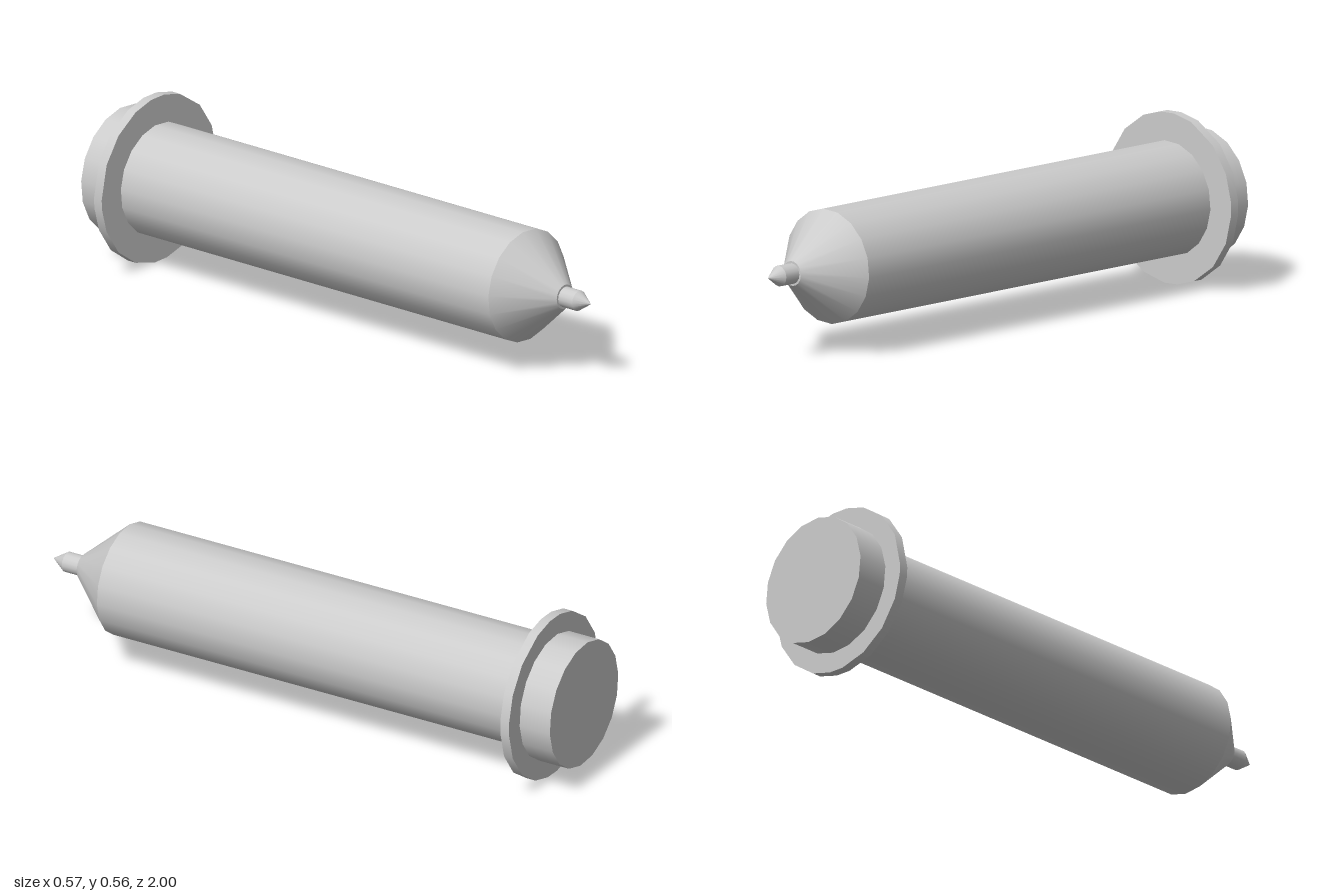
import * as THREE from 'three';

const CENTRE_Y = 0.284;
const material = new THREE.MeshStandardMaterial({ color: 0xcccccc });

// Round section along z, from the back (z0, r0) to the front (z1, r1).
function section(name, z0, r0, z1, r1, sides = 18, turn = 0) {
  const geometry = new THREE.CylinderGeometry(r1, r0, z1 - z0, sides);
  geometry.rotateX(Math.PI / 2);
  geometry.rotateZ(THREE.MathUtils.degToRad(turn));
  const mesh = new THREE.Mesh(geometry, material);
  mesh.name = name;
  mesh.position.set(0, CENTRE_Y, (z0 + z1) / 2);
  return mesh;
}

// Uneven corner angles of the flange rim, in degrees, counterclockwise from the bottom.
const RIM_ANGLES = [266, 278, 294, 315, 336, 356, 365, 384, 405, 429,
  445, 458, 474, 495, 516, 540, 547, 564, 585, 606];

// Slide each rim vertex round to its uneven angle.
function respaceRim(mesh) {
  const n = RIM_ANGLES.length;
  const { position, normal } = mesh.geometry.attributes;
  for (let i = 0; i < position.count; i++) {
    const x = position.getX(i), y = position.getY(i), r = Math.hypot(x, y);
    if (r < 1e-5) continue;
    const step = Math.round((Math.atan2(y, x) / (2 * Math.PI) + 0.25) * n);
    const a = THREE.MathUtils.degToRad(RIM_ANGLES[(step + n) % n]);
    position.setXY(i, r * Math.cos(a), r * Math.sin(a));
    if (Math.abs(normal.getZ(i)) < 0.5) normal.setXYZ(i, Math.cos(a), Math.sin(a), 0);
  }
  return mesh;
}

export function createModel() {
  const model = new THREE.Group();
  model.name = 'pointedPin';

  // Back end: plug and wide flange
  model.add(section('backCap', -1, 0.216, -0.885, 0.216, 18, 6));
  model.add(respaceRim(section('flange', -0.886, 0.283, -0.853, 0.283, RIM_ANGLES.length)));

  // Long barrel and its tapered nose
  model.add(section('barrel', -0.854, 0.189, 0.725, 0.189, 18, 6));
  model.add(section('noseCone', 0.725, 0.189, 0.89, 0.041, 18, 6));

  // Narrow neck and pointed tip
  model.add(section('neck', 0.88, 0.034, 0.95, 0.034, 16));
  model.add(section('tip', 0.95, 0.034, 1, 0.001, 16));

  return model;
}
